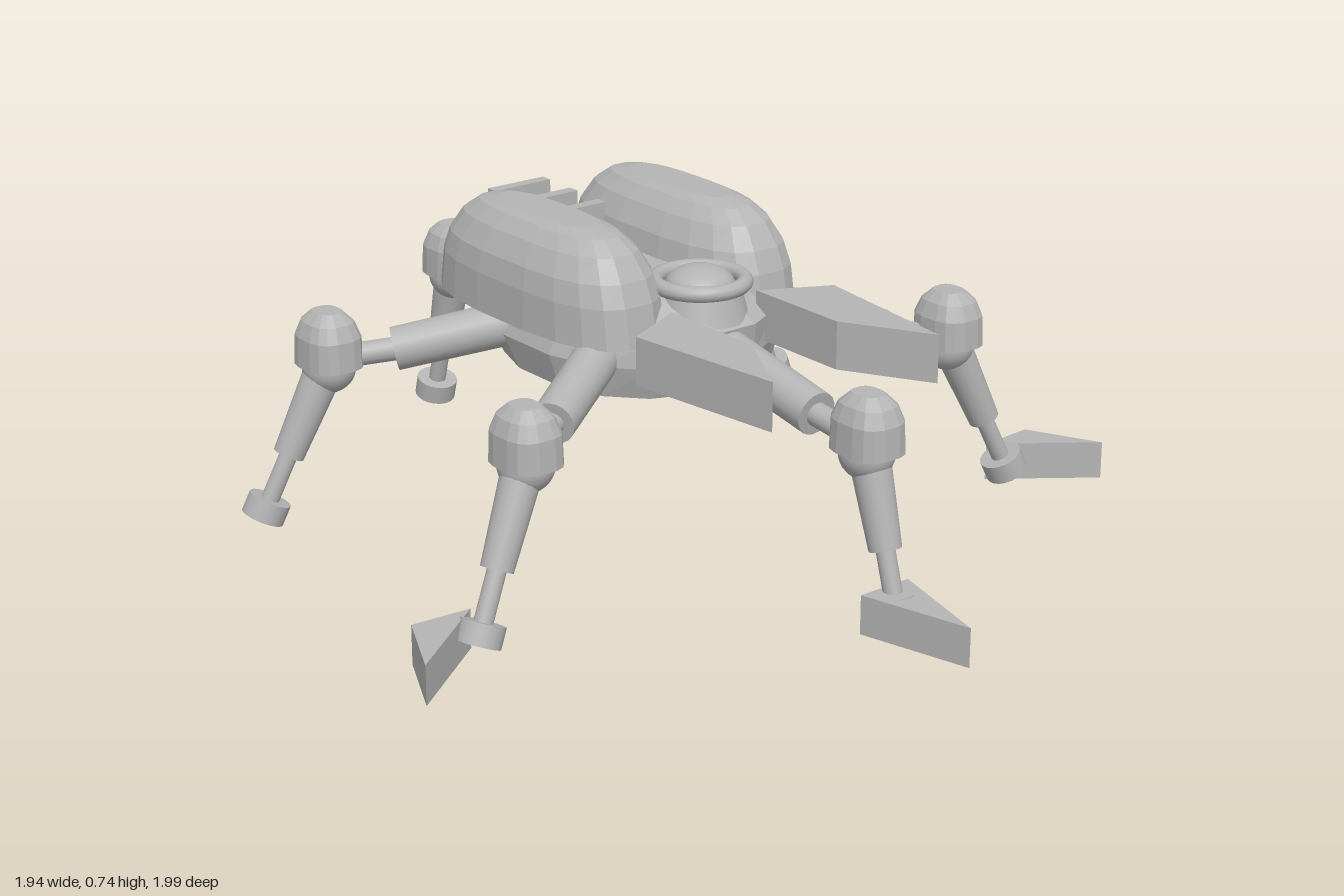
import * as THREE from 'three';

const V = (x, y, z) => new THREE.Vector3(x, y, z);

// Faceted solid lofted through rounded-rectangle rings: [y, half width, half depth, z offset]
function loft(rings, n, power) {
  const pos = [];
  const e = 2 / power;
  const point = ([y, sx, sz, cz = 0], k) => {
    const t = ((k + 0.5) / n) * Math.PI * 2;
    const c = Math.cos(t), s = Math.sin(t);
    return [Math.sign(c) * Math.abs(c) ** e * sx, y, Math.sign(s) * Math.abs(s) ** e * sz + cz];
  };
  const bottom = rings[0], top = rings[rings.length - 1];
  for (let k = 0; k < n; k++) {
    for (let i = 0; i < rings.length - 1; i++) {
      const a = point(rings[i], k), b = point(rings[i], k + 1);
      const c = point(rings[i + 1], k), d = point(rings[i + 1], k + 1);
      pos.push(...a, ...c, ...b, ...b, ...c, ...d);
    }
    pos.push(0, bottom[0], bottom[3] || 0, ...point(bottom, k), ...point(bottom, k + 1));
    pos.push(0, top[0], top[3] || 0, ...point(top, k + 1), ...point(top, k));
  }
  const g = new THREE.BufferGeometry();
  g.setAttribute('position', new THREE.Float32BufferAttribute(pos, 3));
  g.computeVertexNormals();
  return g;
}

// Flat plate from [x, z] corners, between two heights
function plate(corners, y0, y1) {
  const shape = new THREE.Shape(corners.map(([x, z]) => new THREE.Vector2(x, -z)));
  const g = new THREE.ExtrudeGeometry(shape, { depth: y1 - y0, bevelEnabled: false });
  return g.rotateX(-Math.PI / 2).translate(0, y0, 0);
}

export function createModel() {
  const model = new THREE.Group();
  model.name = 'sixLeggedWalker';
  const metal = new THREE.MeshStandardMaterial({ color: 0xb4b4b4 });
  metal.name = 'grey metal';

  const add = (parent, name, geometry, x = 0, y = 0, z = 0) => {
    const m = new THREE.Mesh(geometry, metal);
    m.name = name;
    m.position.set(x, y, z);
    parent.add(m);
    return m;
  };
  // Cylinder running from a to b
  const rod = (parent, name, a, b, ra, rb = ra) => {
    const dir = b.clone().sub(a);
    const m = add(parent, name, new THREE.CylinderGeometry(rb, ra, dir.length(), 20));
    m.position.copy(a).lerp(b, 0.5);
    m.quaternion.setFromUnitVectors(V(0, 1, 0), dir.normalize());
    return m;
  };

  // Hull
  add(model, 'body', loft([
    [0.385, 0.28, 0.31, -0.12],
    [0.46, 0.3, 0.36, -0.14],
    [0.53, 0.27, 0.38, -0.15],
    [0.6, 0.16, 0.3, -0.17],
  ], 16, 2.3));

  // Twin wing shells
  const shell = loft([
    [0.51, 0.14, 0.345],
    [0.6, 0.137, 0.33],
    [0.65, 0.127, 0.31],
    [0.7, 0.1, 0.275],
    [0.73, 0.072, 0.23],
    [0.742, 0.05, 0.17],
  ], 20, 2.8);
  for (const s of [1, -1]) {
    add(model, s > 0 ? 'leftShell' : 'rightShell', shell, s * 0.188, 0, -0.195);
    // Pointed front jaws
    add(model, s > 0 ? 'leftJaw' : 'rightJaw',
      plate([[0.12, 0.16], [0.28, 0.24], [0.232, 0.63], [0.12, 0.43]].map(([x, z]) => [s * x, z]), 0.47, 0.58));
  }

  // Sensor eye
  add(model, 'eyeBase', new THREE.CylinderGeometry(0.09, 0.11, 0.07, 32), 0, 0.57, 0.11);
  add(model, 'eyeRing', new THREE.TorusGeometry(0.1, 0.018, 12, 40).rotateX(Math.PI / 2), 0, 0.615, 0.11);
  add(model, 'eyeLens', new THREE.SphereGeometry(0.078, 28, 16).scale(1, 0.55, 1), 0, 0.608, 0.11);

  // Fins between the shells
  [[-0.57, 0.08], [-0.455, 0.075], [-0.34, 0.07]].forEach(([z, w], i) =>
    add(model, 'backFin' + (i + 1), new THREE.BoxGeometry(w * 2, 0.07, 0.03), 0, 0.645, z));

  // Legs: direction from the hull centre and knee distance
  const kneeCap = loft([
    [0, 0.067, 0.08],
    [0.07, 0.065, 0.077],
    [0.105, 0.052, 0.062],
    [0.128, 0.03, 0.037],
  ], 16, 2.8);
  const centreZ = -0.1;
  const legs = [
    ['frontLeg', 0, 0.765, 0.865], ['backLeg', 0, -0.755, -0.85],
    ['frontLeftLeg', 0.6, 0.38, 0], ['frontRightLeg', -0.6, 0.38, 0],
    ['backLeftLeg', 0.6, -0.38, 0], ['backRightLeg', -0.6, -0.38, 0],
  ];
  for (const [name, kx, kz, fz] of legs) {
    const leg = new THREE.Group();
    leg.name = name;
    model.add(leg);
    const side = kx !== 0;
    const at = (t, y) => V(kx * t, y, centreZ + kz * t);
    const hip = at(0.4, 0.475), elbow = at(0.79, 0.418), knee = at(1, 0.4);
    const foot = V(side ? Math.sign(kx) * 0.755 : 0, 0.06, centreZ + (side ? Math.sign(kz) * 0.425 : fz));

    add(leg, 'hipBall', new THREE.SphereGeometry(0.052, 20, 14)).position.copy(hip);
    rod(leg, 'thighSleeve', hip, elbow, 0.052, 0.05);
    rod(leg, 'thighRod', elbow, knee, 0.027);
    add(leg, 'kneeCap', kneeCap, knee.x, 0.387, knee.z);
    add(leg, 'kneeBall', new THREE.SphereGeometry(0.062, 24, 16), knee.x, 0.383, knee.z);
    const shin = knee.clone().lerp(foot, 0.64);
    rod(leg, 'shinSleeve', knee, shin, 0.046, 0.036);
    rod(leg, 'shinRod', shin, foot, 0.021);
    const reach = foot.clone().sub(knee).normalize().multiplyScalar(0.024);
    rod(leg, 'footPad', foot.clone().sub(reach), foot.clone().add(reach), 0.05);
  }

  // Claws on the three front feet
  add(model, 'frontClaw', plate([[-0.067, 0.73], [0.067, 0.73], [0, 0.99]], 0.005, 0.095));
  for (const s of [1, -1]) {
    add(model, s > 0 ? 'leftClaw' : 'rightClaw',
      plate([[s * 0.745, 0.275], [s * 0.885, 0.265], [s * 0.968, 0.44]], 0.005, 0.095));
  }
  return model;
}
